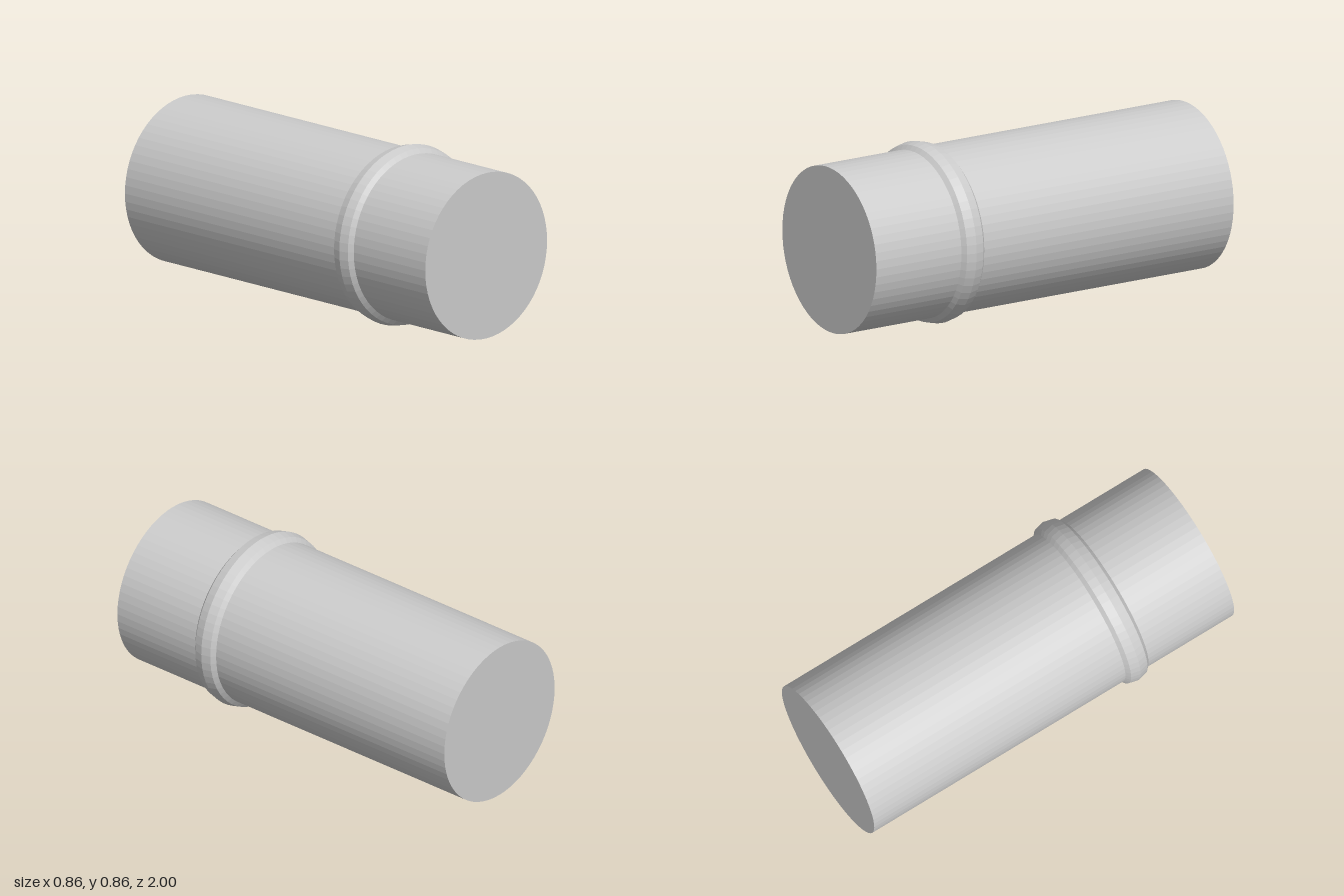
import * as THREE from 'three';

const SIDES = 64;
const BODY_RADIUS = 0.4;
const RING_RADIUS = 0.432;
const material = new THREE.MeshStandardMaterial({ color: 0xcccccc, flatShading: true });

// Revolves a [radius, z] profile around the z axis
function revolve(name, profile) {
  const points = profile.map(([r, z]) => new THREE.Vector2(r, z));
  const geometry = new THREE.LatheGeometry(points, SIDES).rotateX(Math.PI / 2);
  const mesh = new THREE.Mesh(geometry, material);
  mesh.name = name;
  return mesh;
}

export function createModel() {
  const group = new THREE.Group();
  group.name = 'pipe';

  // Long closed cylinder lying along z
  const body = revolve('body', [[0, -1], [BODY_RADIUS, -1], [BODY_RADIUS, 1], [0, 1]]);

  // Rounded bead around the pipe, nearer the front end
  const ring = revolve('beadRing', [
    [BODY_RADIUS - 0.01, -0.064], [BODY_RADIUS, -0.064], [0.421, -0.046], [RING_RADIUS, 0],
    [0.421, 0.046], [BODY_RADIUS, 0.064], [BODY_RADIUS - 0.01, 0.064],
  ]);
  ring.position.z = 0.46;

  group.add(body, ring);
  group.position.y = RING_RADIUS;
  return group;
}
